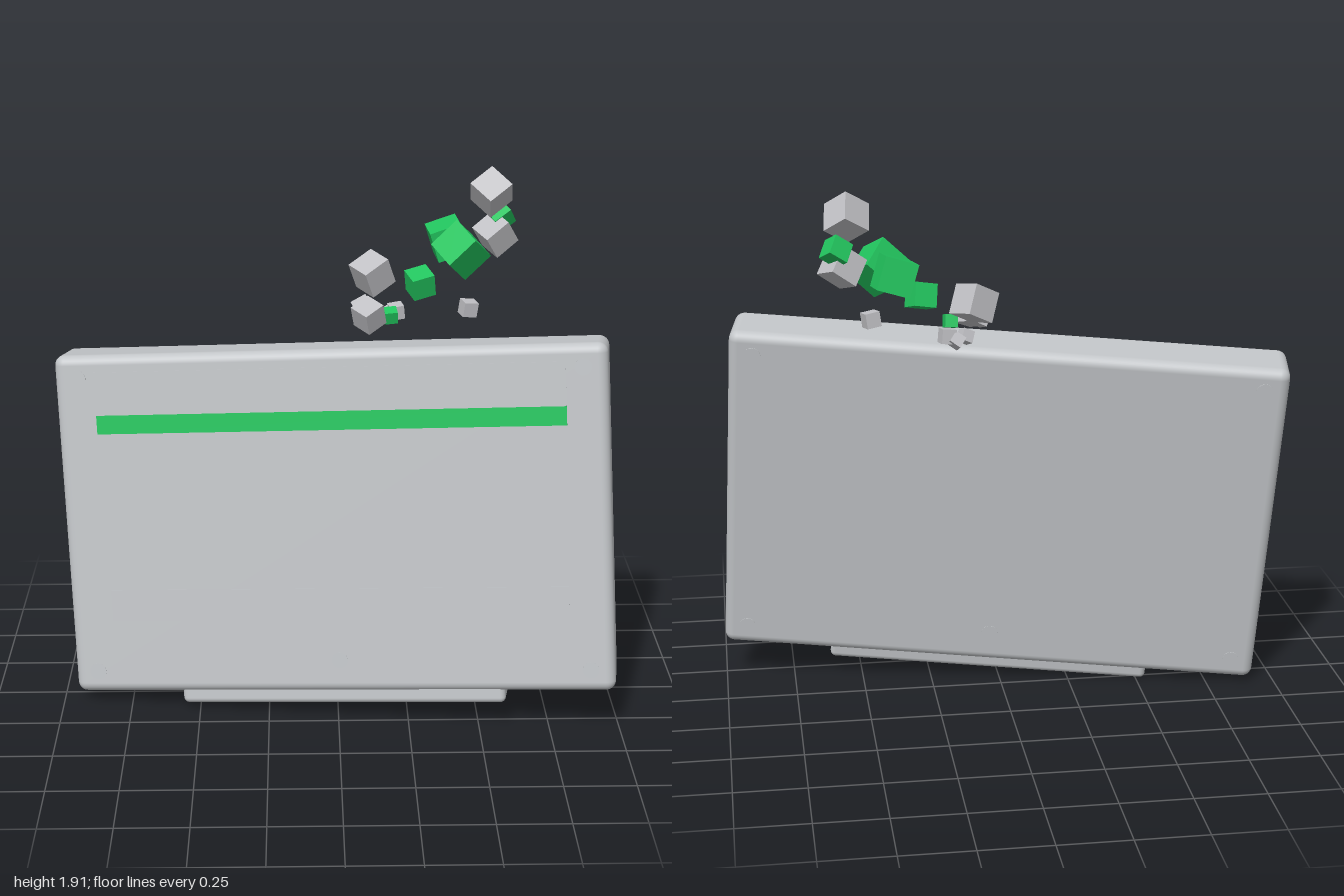
import * as THREE from 'three';
import { RoundedBoxGeometry } from 'three/addons/geometries/RoundedBoxGeometry.js';

export function createModel() {
  const model = new THREE.Group();
  model.name = 'cartridgeWithDebris';

  const material = (name, color) => {
    const m = new THREE.MeshStandardMaterial({ color });
    m.name = name;
    return m;
  };
  const shell = material('shell grey', 0xc2c5c8);
  const chip = material('debris grey', 0xc0c0c4);
  const green = material('green', 0x22c55e);

  const add = (parent, name, geometry, mat, x, y, z) => {
    const mesh = new THREE.Mesh(geometry, mat);
    mesh.name = name;
    mesh.position.set(x, y, z);
    parent.add(mesh);
    return mesh;
  };

  // Tilted cartridge, built upright in its own frame
  const W = 1.95, H = 1.24, D = 0.22;
  const cartridge = new THREE.Group();
  cartridge.name = 'cartridge';
  const right = new THREE.Vector3(0.985, 0.068, 0.156).normalize();
  const front = right.clone().cross(new THREE.Vector3(-0.049, 0.988, -0.147)).normalize();
  const up = front.clone().cross(right);
  cartridge.quaternion.setFromRotationMatrix(new THREE.Matrix4().makeBasis(right, up, front));
  cartridge.position.set(0, 0.71, 0.045);
  model.add(cartridge);

  add(cartridge, 'shell', new RoundedBoxGeometry(W, H, D, 4, 0.035), shell, 0, 0, 0);
  add(cartridge, 'connectorTab', new RoundedBoxGeometry(1.17, 0.12, 0.18, 3, 0.02), shell, 0, -0.607, 0.005);

  // Thin plates on the front face
  const plate = (name, mat, width, bottom, top, lift) =>
    add(cartridge, name, new THREE.BoxGeometry(width, top - bottom, 0.008), mat,
      0, (bottom + top) / 2, D / 2 + lift - 0.004);
  plate('upperPanel', shell, 1.66, 0.405, 0.56, 0.002);
  plate('greenStripe', green, 1.66, 0.338, 0.405, 0.003);
  plate('lowerPanel', shell, 1.64, -0.35, -0.235, 0.002);

  // Screws running right through the shell
  const screw = new THREE.CylinderGeometry(0.03, 0.03, D + 0.004, 20);
  screw.rotateX(Math.PI / 2);
  for (const [x, y] of [[-0.89, 0.54], [0.89, 0.54], [-0.89, -0.54], [0.89, -0.54], [0, -0.5]]) {
    add(cartridge, 'screw', screw, shell, x, y, 0);
  }

  // Loose cubes flying off the top: x, y, z, size, rotations
  const debris = (name, mat, list) => {
    const group = new THREE.Group();
    group.name = name;
    model.add(group);
    for (const [x, y, z, size, rx, ry, rz] of list) {
      add(group, 'cube', new THREE.BoxGeometry(size, size, size), mat, x, y, z).rotation.set(rx, ry, rz);
    }
  };
  debris('greyDebris', chip, [
    [0.55, 1.82, -0.26, 0.105, 0.7, 0.7, 0.1],
    [0.57, 1.66, -0.29, 0.1, 0.3, 0.5, 0.5],
    [0.13, 1.52, -0.28, 0.105, 0.2, 0.6, 0.35],
    [0.11, 1.43, -0.05, 0.082, 0.3, 0.7, 0.2],
    [0.095, 1.435, -0.12, 0.06, 0.3, 0.3, 0.4],
    [0.465, 1.435, -0.12, 0.052, 0.1, 0.3, -0.15],
    [0.215, 1.395, -0.225, 0.05, 0.1, 0.2, 0.1],
    [0.15, 1.385, -0.2, 0.042, 0.4, 0.4, 0.3],
    [0.185, 1.38, -0.235, 0.042, 0.5, 0.2, 0.6],
  ]);
  debris('greenDebris', green, [
    [0.44, 1.63, -0.18, 0.125, 0.5, 0.5, 0.6],
    [0.4, 1.635, -0.33, 0.115, 0.1, 0.12, 0.3],
    [0.295, 1.52, -0.15, 0.082, 0.3, 0.35, 0.1],
    [0.59, 1.72, -0.32, 0.07, 0.5, 0.5, 0.4],
    [0.19, 1.415, -0.1, 0.045, 0.3, 0.1, 0.05],
  ]);

  return model;
}
